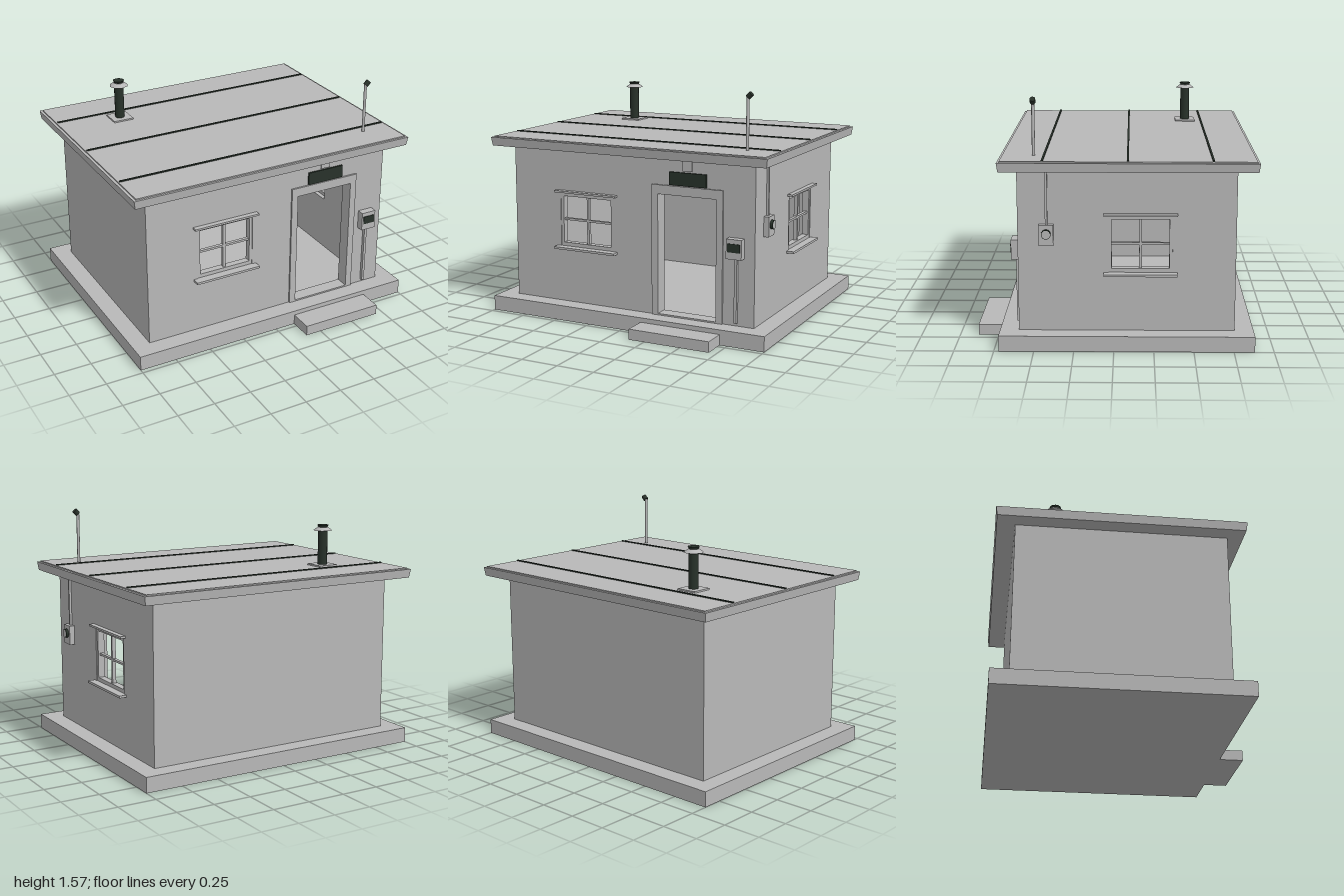
import * as THREE from 'three';

export function createModel() {
  const model = new THREE.Group();
  const grey = new THREE.MeshStandardMaterial({ color: 0xb8b8b8 });
  grey.name = 'concrete grey';
  const dark = new THREE.MeshStandardMaterial({ color: 0x28322a });
  dark.name = 'dark green';

  const add = (name, geometry, material = grey, parent = model) => {
    const mesh = new THREE.Mesh(geometry, material);
    mesh.name = name;
    parent.add(mesh);
    return mesh;
  };
  // Box given by its limits on each axis
  const box = (name, [x0, x1], [y0, y1], [z0, z1], material = grey, parent = model) => {
    const mesh = add(name, new THREE.BoxGeometry(x1 - x0, y1 - y0, z1 - z0), material, parent);
    mesh.position.set((x0 + x1) / 2, (y0 + y1) / 2, (z0 + z1) / 2);
    return mesh;
  };
  const cylinder = (name, rTop, rBottom, y0, y1, x, z, sides, material) => {
    const mesh = add(name, new THREE.CylinderGeometry(rTop, rBottom, y1 - y0, sides), material);
    mesh.position.set(x, (y0 + y1) / 2, z);
    return mesh;
  };
  const trace = (path, [x0, x1, y0, y1]) => {
    path.moveTo(x0, y0);
    path.lineTo(x1, y0);
    path.lineTo(x1, y1);
    path.lineTo(x0, y1);
    path.closePath();
    return path;
  };
  // Upright panel with rectangular openings
  const panel = (name, outline, openings, z0, z1, parent = model) => {
    const shape = trace(new THREE.Shape(), outline);
    openings.forEach((o) => shape.holes.push(trace(new THREE.Path(), o)));
    const mesh = add(name, new THREE.ExtrudeGeometry(shape, { depth: z1 - z0, bevelEnabled: false }), grey, parent);
    mesh.position.z = z0;
    return mesh;
  };

  // Foundation and doorstep
  box('foundation', [-1, 1], [0, 0.1], [-0.88, 0.72]);
  box('doorstep', [0.14, 0.7], [0, 0.07], [0.72, 0.88]);

  // Hollow walls; the side group turns local +z towards +x and local x towards -z
  const t = 0.08, top = 1.14;
  const side = new THREE.Group();
  side.name = 'leftSide';
  side.rotation.y = Math.PI / 2;
  model.add(side);
  const hole = (cx) => [cx - 0.2, cx + 0.2, 0.48, 0.845];
  const frontWindowX = -0.325, sideWindowX = 0.165;
  const doorway = [0.21, 0.62, 0.11, 0.9];
  panel('frontWall', [-0.88, 0.88, 0.1, top], [hole(frontWindowX), doorway], 0.6 - t, 0.6);
  panel('leftWall', [-0.6 + t, 0.76 - t, 0.1, top], [hole(sideWindowX)], 0.88 - t, 0.88, side);
  box('backWall', [-0.88, 0.88], [0.1, top], [-0.76, -0.76 + t]);
  box('rightWall', [-0.88, -0.88 + t], [0.1, top], [-0.76 + t, 0.6 - t]);

  // Open windows: frame, glazing bars, sill and hood
  const addWindow = (name, cx, face, parent) => {
    const g = new THREE.Group();
    g.name = name;
    parent.add(g);
    panel('windowFrame', hole(cx), [[cx - 0.18, cx + 0.18, 0.505, 0.82]], face - 0.05, face - 0.005, g);
    box('uprightBar', [cx - 0.008, cx + 0.008], [0.505, 0.82], [face - 0.04, face - 0.015], grey, g);
    box('crossBar', [cx - 0.18, cx + 0.18], [0.655, 0.669], [face - 0.039, face - 0.016], grey, g);
    box('windowSill', [cx - 0.23, cx + 0.23], [0.465, 0.48], [face - 0.02, face + 0.05], grey, g);
    box('windowHood', [cx - 0.23, cx + 0.23], [0.847, 0.86], [face - 0.01, face + 0.035], grey, g);
  };
  addWindow('frontWindow', frontWindowX, 0.6, model);
  addWindow('sideWindow', sideWindowX, 0.88, side);

  // Door surround, sign plate and lamp
  panel('doorFrame', [0.165, 0.665, 0.1, 0.96], [doorway], 0.6, 0.612);
  box('signPlate', [0.29, 0.55], [0.965, 1.05], [0.6, 0.612], dark);
  box('lampBox', [0.385, 0.45], [1.06, 1.13], [0.6, 0.61]);

  // Meter on the front wall
  box('meterBox', [0.705, 0.81], [0.54, 0.668], [0.6, 0.65]);
  box('meterDisplay', [0.716, 0.8], [0.585, 0.64], [0.65, 0.654], dark);
  box('meterConduit', [0.75, 0.768], [0.12, 0.54], [0.6, 0.622]);

  // Dial box on the side wall
  box('dialBox', [0.88, 0.915], [0.66, 0.79], [0.375, 0.466]);
  box('dialConduit', [0.88, 0.895], [0.79, 1.125], [0.412, 0.427]);
  const dial = add('dial', new THREE.CylinderGeometry(0.03, 0.03, 0.018, 16), dark);
  dial.rotation.z = -Math.PI / 2;
  dial.position.set(0.924, 0.735, 0.42);
  const dialFace = add('dialFace', new THREE.CircleGeometry(0.027, 16));
  dialFace.rotation.y = Math.PI / 2;
  dialFace.position.set(0.9345, 0.735, 0.42);

  // Roof slab narrowing slightly downwards, with sheet and seams on top
  const slab = box('roofSlab', [-0.998, 0.998], [top, 1.197], [-0.885, 0.71]);
  const p = slab.geometry.attributes.position;
  for (let i = 0; i < p.count; i++) {
    if (p.getY(i) < 0) p.setXYZ(i, p.getX(i) * 0.992, p.getY(i), p.getZ(i) * 0.99);
  }
  slab.geometry.computeVertexNormals();
  box('roofSheet', [-0.98, 0.98], [1.197, 1.205], [-0.87, 0.695]);
  for (const z of [-0.605, -0.085, 0.435]) {
    box('roofSeam', [-0.972, 0.972], [1.205, 1.212], [z - 0.006, z + 0.006], dark);
  }

  // Flue pipe with rain collar
  box('flueBase', [-0.63, -0.49], [1.205, 1.215], [-0.56, -0.42]);
  cylinder('fluePipe', 0.032, 0.032, 1.215, 1.455, -0.56, -0.49, 12, dark);
  cylinder('flueCollar', 0.035, 0.064, 1.443, 1.465, -0.56, -0.49, 8, grey);
  cylinder('flueCap', 0.038, 0.031, 1.465, 1.48, -0.56, -0.49, 12, dark);

  // Mast with tilted sensor
  cylinder('mast', 0.01, 0.01, 1.2, 1.54, 0.778, 0.5, 10, grey);
  const sensor = cylinder('mastSensor', 0.018, 0.018, 1.53, 1.564, 0.79, 0.5, 12, dark);
  sensor.rotation.z = -Math.PI / 4;

  return model;
}
